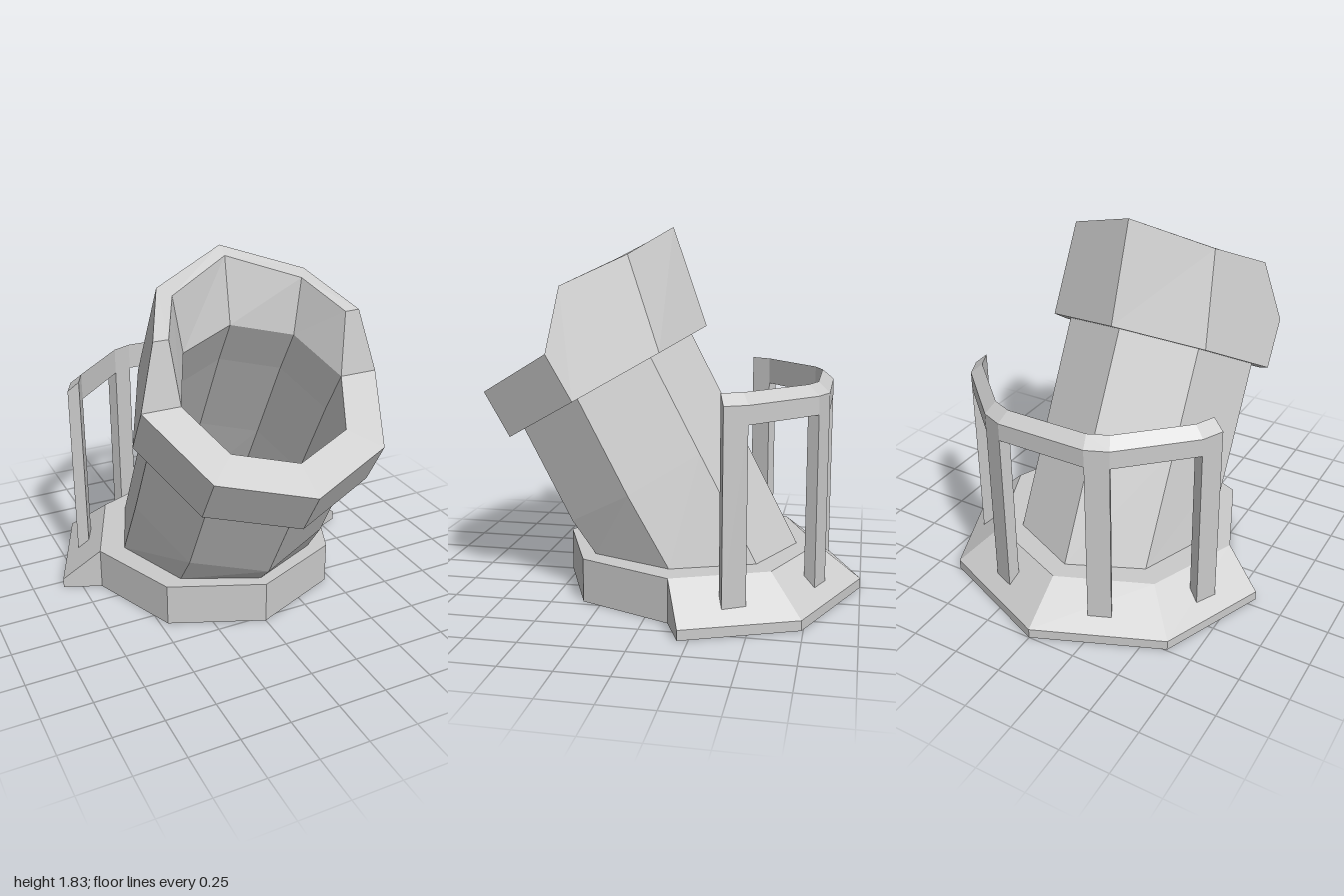
import * as THREE from 'three';

const material = new THREE.MeshStandardMaterial({ color: 0xcccccc, flatShading: true });
const S = Math.SQRT1_2, COS = Math.cos(Math.PI / 6), SIN = 0.5;

// Skin a list of equal-length point rings; wrap joins the last ring to the first, otherwise quad ends are capped.
function loft(name, rings, wrap) {
  const pos = [];
  const tri = (a, b, c) => {
    const [p, q, r] = [a, b, c].map((v) => new THREE.Vector3(...v));
    if (q.sub(p).cross(r.sub(p)).length() > 1e-7) pos.push(...a, ...b, ...c);
  };
  const quad = (a, b, c, d) => { tri(a, b, c); tri(a, c, d); };
  const n = rings[0].length, m = rings.length;
  for (let i = 0; i < (wrap ? m : m - 1); i++) {
    const lo = rings[i], hi = rings[(i + 1) % m];
    for (let j = 0; j < n; j++) {
      const k = (j + 1) % n;
      quad(lo[j], lo[k], hi[k], hi[j]);
    }
  }
  if (!wrap) {
    quad(...[...rings[0]].reverse());
    quad(...rings[m - 1]);
  }
  const geo = new THREE.BufferGeometry();
  geo.setAttribute('position', new THREE.Float32BufferAttribute(pos, 3));
  geo.computeVertexNormals();
  const mesh = new THREE.Mesh(geo, material);
  mesh.name = name;
  return mesh;
}

// Complete a half ring (front to back on +x) with its mirror image.
const mirror = (half) => [...half, ...half.slice(1, -1).reverse().map(([x, y, z]) => [-x, y, z])];

// Half octagon as [x, backward distance], front to back.
const halfOct = (rx, rz = rx) => [[0, -rz], [rx * S, -rz * S], [rx, 0], [rx * S, rz * S], [0, rz]];
const flat = (pts, y, cz) => pts.map(([x, r]) => [x, y, cz - r]);
// Place [x, backward, height] points in the frame tilted 30 degrees forward.
const tilted = (pts, cy, cz) => pts.map(([x, r, h = 0]) => [x, cy + COS * h + SIN * r, cz + SIN * h - COS * r]);
// Octagon with its side corner doubled, giving the extra column that shoulders start from.
const doubled = (R, h) => {
  const p = halfOct(R).map(([x, r]) => [x, r, h]);
  return [p[0], p[1], p[2], p[2], p[3], p[4]];
};

// Octagonal plinth with a sloping apron behind
function base() {
  const cz = -0.12, top = doubled(0.655), hole = doubled(0.41);
  const apron = [...top.slice(0, 3), [0.845, 0.08], [0.622, 0.622], [0, 0.88]];
  return loft('base', [
    flat(apron, 0, cz), flat(apron, 0.05, cz), flat(top, 0.22, cz),
    flat(hole, 0.22, cz), flat(hole, 0, cz),
  ].map(mirror), true);
}

// Leaning hollow tube with a bend near its foot
function tube() {
  const out = halfOct(0.525), inn = halfOct(0.42);
  return loft('tube', [
    flat(halfOct(0.525, 0.57), 0.22, -0.1), tilted(out, 0.57, 0.1), tilted(out, 1.03, 0.34),
    tilted(inn, 1.03, 0.34), tilted(inn, 0.57, 0.1), flat(halfOct(0.41), 0.22, -0.12),
  ].map(mirror), true);
}

// Collar around the mouth, raised and flared at the back
function collar() {
  const h = 0.255;
  const outerTop = [...doubled(0.614, h).slice(0, 3), [0.53, 0.196, 0.5], [0.39, 0.524, 0.477], [0, 0.712, 0.513]];
  const innerTop = [...doubled(0.42, h).slice(0, 3), [0.455, 0.195, 0.5], [0.34, 0.452, 0.49], [0, 0.64, 0.51]];
  return loft('collar', [doubled(0.614, 0), outerTop, innerTop, doubled(0.42, h), doubled(0.42, 0)]
    .map((p) => mirror(tilted(p, 1.03, 0.34))), true);
}

// Curved handrail on four posts behind the tube
function railing() {
  const group = new THREE.Group();
  group.name = 'railing';
  const at = (R, deg, y) => {
    const a = THREE.MathUtils.degToRad(deg);
    return [R * Math.cos(a), y, -0.12 - R * Math.sin(a)];
  };
  const RO = 0.745, RI = 0.685;
  const angles = [20.5, 29.5, 63, 72, 108, 117, 150.5, 159.5];
  group.add(loft('handrail', angles.map((a) => [at(RO, a, 1.05), at(RO, a, 0.96), at(RI, a, 0.96), at(RI, a, 1.1)]), false));
  for (let i = 0; i < 8; i += 2) {
    const [a, b] = [angles[i], angles[i + 1]];
    group.add(loft('post', [0.105, 0.96].map((y) => [at(RO, a, y), at(RO, b, y), at(RI, b, y), at(RI, a, y)]), false));
  }
  return group;
}

export function createModel() {
  const model = new THREE.Group();
  model.name = 'leaningFunnel';
  model.add(base(), tube(), collar(), railing());
  return model;
}
